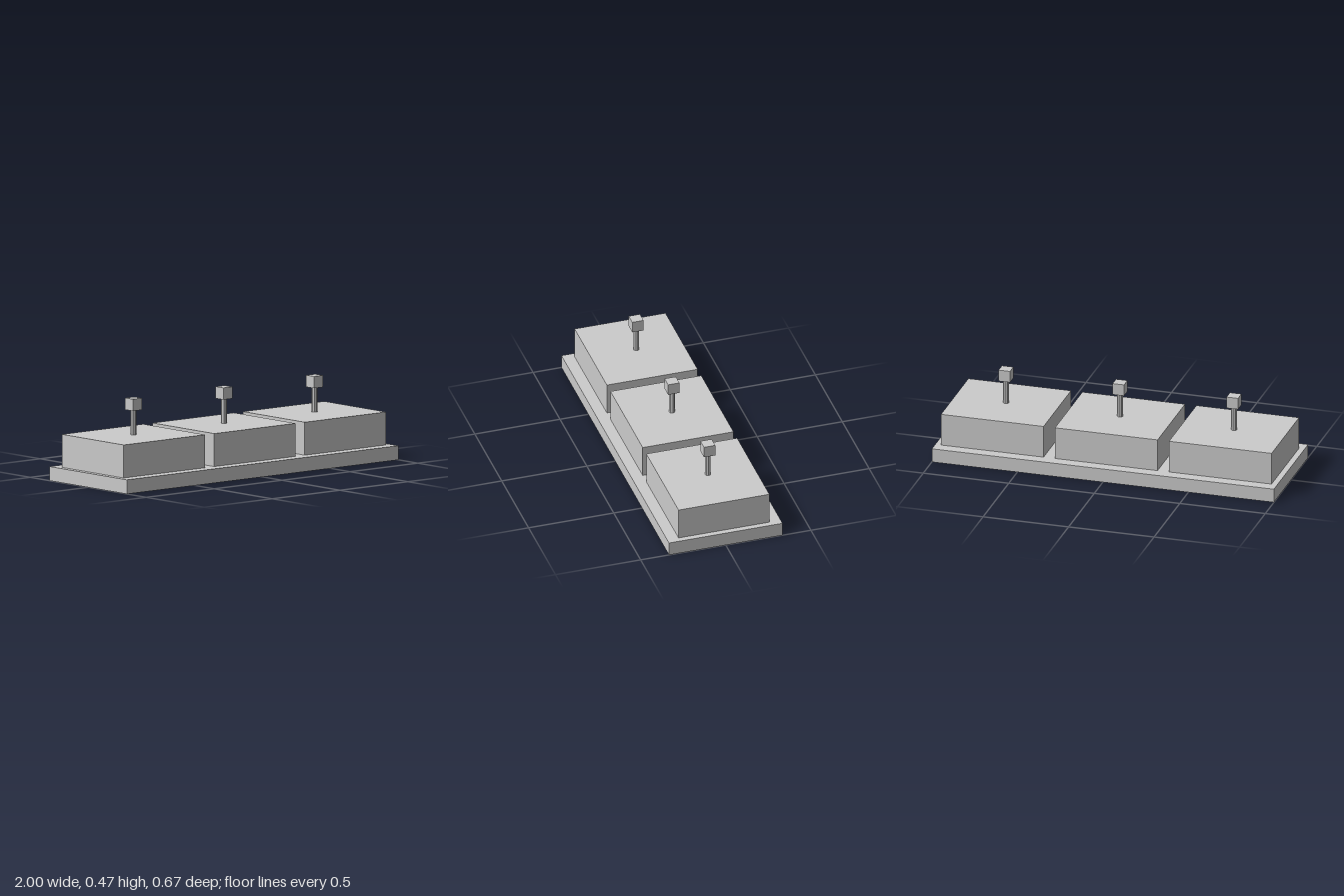
import * as THREE from 'three';

export function createModel() {
  const group = new THREE.Group();
  const u = 1 / 15; // design unit
  const material = new THREE.MeshStandardMaterial({ color: 0xcccccc, flatShading: true });

  // Adds a part resting on the given height
  const add = (parent, name, geometry, bottom, height) => {
    const mesh = new THREE.Mesh(geometry, material);
    mesh.name = name;
    mesh.position.y = (bottom + height / 2) * u;
    parent.add(mesh);
  };
  const box = (w, h, d) => new THREE.BoxGeometry(w * u, h * u, d * u);

  // Base slab
  add(group, 'base', box(30, 1.2, 10), 0, 1.2);

  // Three blocks, each with an octagonal post and a cube on top
  ['right', 'middle', 'left'].forEach((side, i) => {
    const unit = new THREE.Group();
    unit.name = side + 'Unit';
    unit.position.x = (i - 1) * 10 * u;
    add(unit, side + 'Block', box(9, 2.8, 8), 1.2, 2.8);
    add(unit, side + 'Post', new THREE.CylinderGeometry(0.25 * u, 0.25 * u, 2.1 * u, 8), 4, 2.1);
    add(unit, side + 'Cube', box(1, 1, 1), 6.1, 1);
    group.add(unit);
  });

  return group;
}
